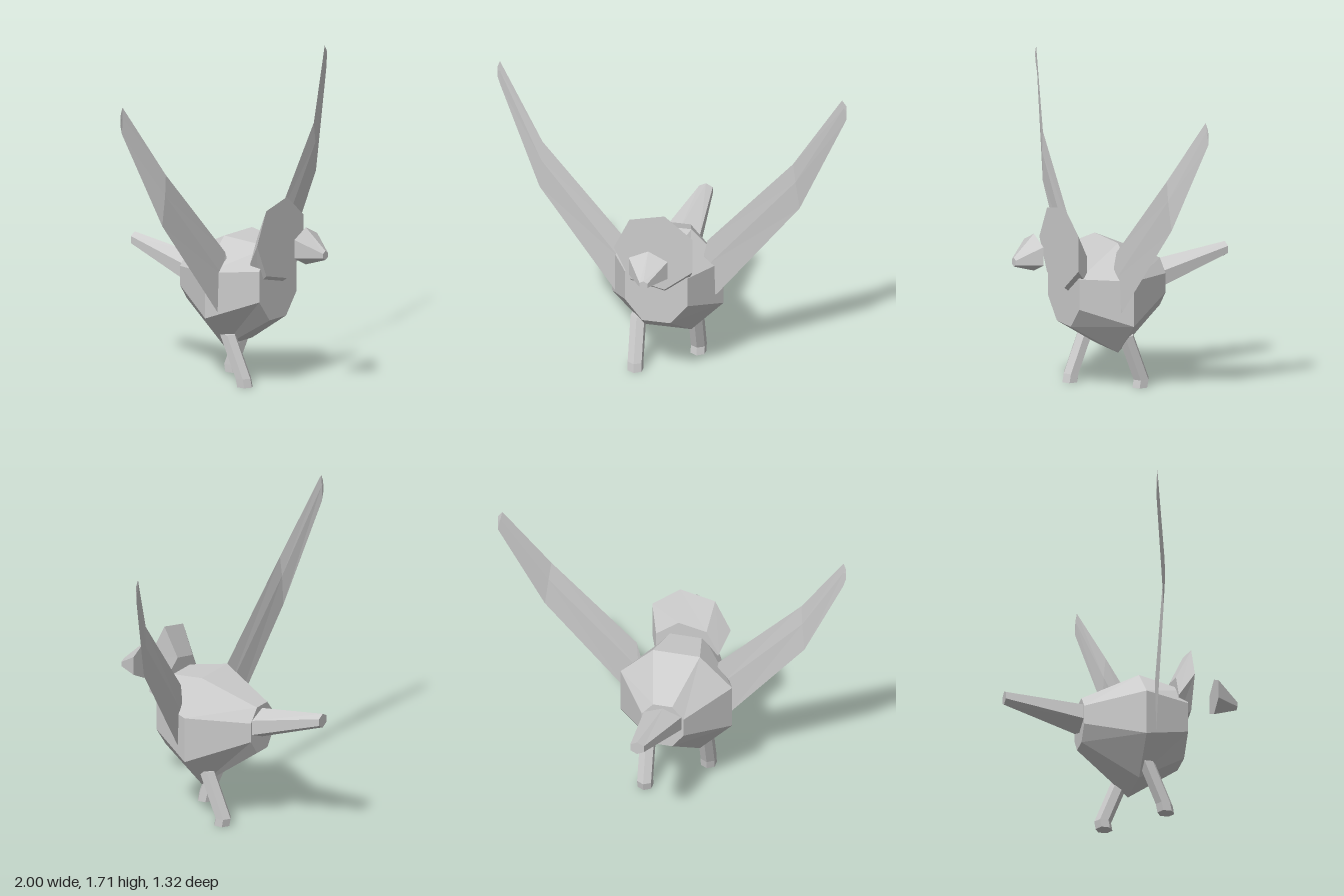
import * as THREE from 'three';

const V = (x, y, z) => new THREE.Vector3(x, y, z);

// Closed faceted skin through rings of points, wound outwards whatever the ring order
function loft(rings) {
  const tris = [], n = rings[0].length, last = rings.length - 1;
  for (let r = 0; r < last; r++) {
    for (let i = 0; i < n; i++) {
      const j = (i + 1) % n, a = rings[r], b = rings[r + 1];
      tris.push([a[i], a[j], b[j]], [a[i], b[j], b[i]]);
    }
  }
  for (let i = 1; i < n - 1; i++) {
    tris.push([rings[0][0], rings[0][i + 1], rings[0][i]]);
    tris.push([rings[last][0], rings[last][i], rings[last][i + 1]]);
  }
  const volume = tris.reduce((s, [a, b, c]) => s + a.dot(b.clone().cross(c)), 0);
  const pos = [];
  for (const [a, b, c] of tris) {
    for (const p of volume < 0 ? [a, c, b] : [a, b, c]) pos.push(p.x, p.y, p.z);
  }
  const g = new THREE.BufferGeometry();
  g.setAttribute('position', new THREE.Float32BufferAttribute(pos, 3));
  g.computeVertexNormals();
  return g;
}

// Polygon ring facing along z
function ringZ(n, x, y, z, rx, ry, start = 0) {
  return Array.from({ length: n }, (_, i) => {
    const t = start + (i / n) * Math.PI * 2;
    return V(x + rx * Math.cos(t), y + ry * Math.sin(t), z);
  });
}

// Level polygon ring
function ringY(n, x, y, z, rx, rz) {
  return Array.from({ length: n }, (_, i) => {
    const t = (i / n) * Math.PI * 2;
    return V(x + rx * Math.sin(t), y, z + rz * Math.cos(t));
  });
}

// Eight-sided body ring from outer/inner half widths and four heights
function bodyRing(z, outer, inner, [y0, y1, y2, y3]) {
  return [
    [inner, y0], [outer, y1], [outer, y2], [inner, y3],
    [-inner, y3], [-outer, y2], [-outer, y1], [-inner, y0],
  ].map(([x, y]) => V(x, y, z));
}

export function createModel() {
  const group = new THREE.Group();
  const grey = new THREE.MeshStandardMaterial({ color: 0xcccccc, flatShading: true });
  grey.name = 'plain grey';
  const add = (name, rings) => {
    const mesh = new THREE.Mesh(loft(rings), grey);
    mesh.name = name;
    group.add(mesh);
  };

  // Body: barrel of three octagons
  add('body', [
    bodyRing(0.34, 0.18, 0.08, [0.38, 0.5, 0.675, 0.8]),
    bodyRing(0.07, 0.32, 0.135, [0.21, 0.4, 0.66, 0.84]),
    bodyRing(-0.24, 0.12, 0.055, [0.43, 0.515, 0.625, 0.7]),
  ]);

  // Tail: tapering hexagon, bent up and to one side
  add('tail', [
    ringZ(6, 0, 0.595, -0.235, 0.125, 0.085, Math.PI / 2),
    ringZ(6, 0.04, 0.7, -0.66, 0.045, 0.04, Math.PI / 2),
  ]);

  // Head: shallow seven-sided plate, leaning down at the back
  add('head', [
    ringZ(7, 0, 0.832, 0.365, 0.237, 0.237, Math.PI),
    ringZ(7, 0, 0.715, 0.285, 0.19, 0.18, Math.PI),
  ]);

  // Beak: floats ahead of the head
  add('beak', [
    ringZ(6, 0, 0.815, 0.53, 0.128, 0.106, Math.PI / 2),
    ringZ(6, 0.005, 0.775, 0.66, 0.026, 0.026, Math.PI / 2),
  ]);

  // Legs: mid-stride, each with a short upright foot
  const legs = [
    ['rightLeg', [-0.158, 0.29, 0.11], [-0.15, 0.05, 0.21], [-0.148, 0, 0.22]],
    ['leftLeg', [0.15, 0.31, 0.03], [0.143, 0.045, -0.073], [0.143, 0, -0.065]],
  ];
  for (const [name, ...path] of legs) {
    add(name, path.map(([x, y, z]) => ringY(6, x, y, z, 0.046, 0.048)));
  }

  // Wings: thin diamond sections given as upper edge, lower edge, half thickness
  const wings = [
    ['leftWing', [
      [[0.225, 0.73, 0.145], [0.24, 0.43, 0.135], 0.006],
      [[0.245, 0.82, 0.14], [0.3, 0.49, 0.132], 0.006],
      [[0.72, 1.33, 0.08], [0.755, 1.05, 0.07], 0.005],
      [[0.975, 1.71, -0.025], [1, 1.59, -0.03], 0.002],
      [[1, 1.675, -0.027], [1, 1.6, -0.03], 0.001],
    ]],
    ['rightWing', [
      [[-0.215, 0.73, 0.145], [-0.235, 0.4, 0.135], 0.006],
      [[-0.225, 0.77, 0.14], [-0.29, 0.44, 0.132], 0.006],
      [[-0.715, 1.29, 0.08], [-0.735, 1, 0.07], 0.005],
      [[-0.985, 1.71, -0.025], [-0.983, 1.555, -0.03], 0.002],
      [[-1, 1.67, -0.027], [-1, 1.61, -0.03], 0.001],
    ]],
  ];
  for (const [name, sections] of wings) {
    add(name, sections.map(([up, low, t]) => {
      const a = V(...up), b = V(...low), mid = a.clone().lerp(b, 0.4);
      return [a, V(mid.x, mid.y, mid.z + t), b, V(mid.x, mid.y, mid.z - t)];
    }));
  }

  return group;
}
